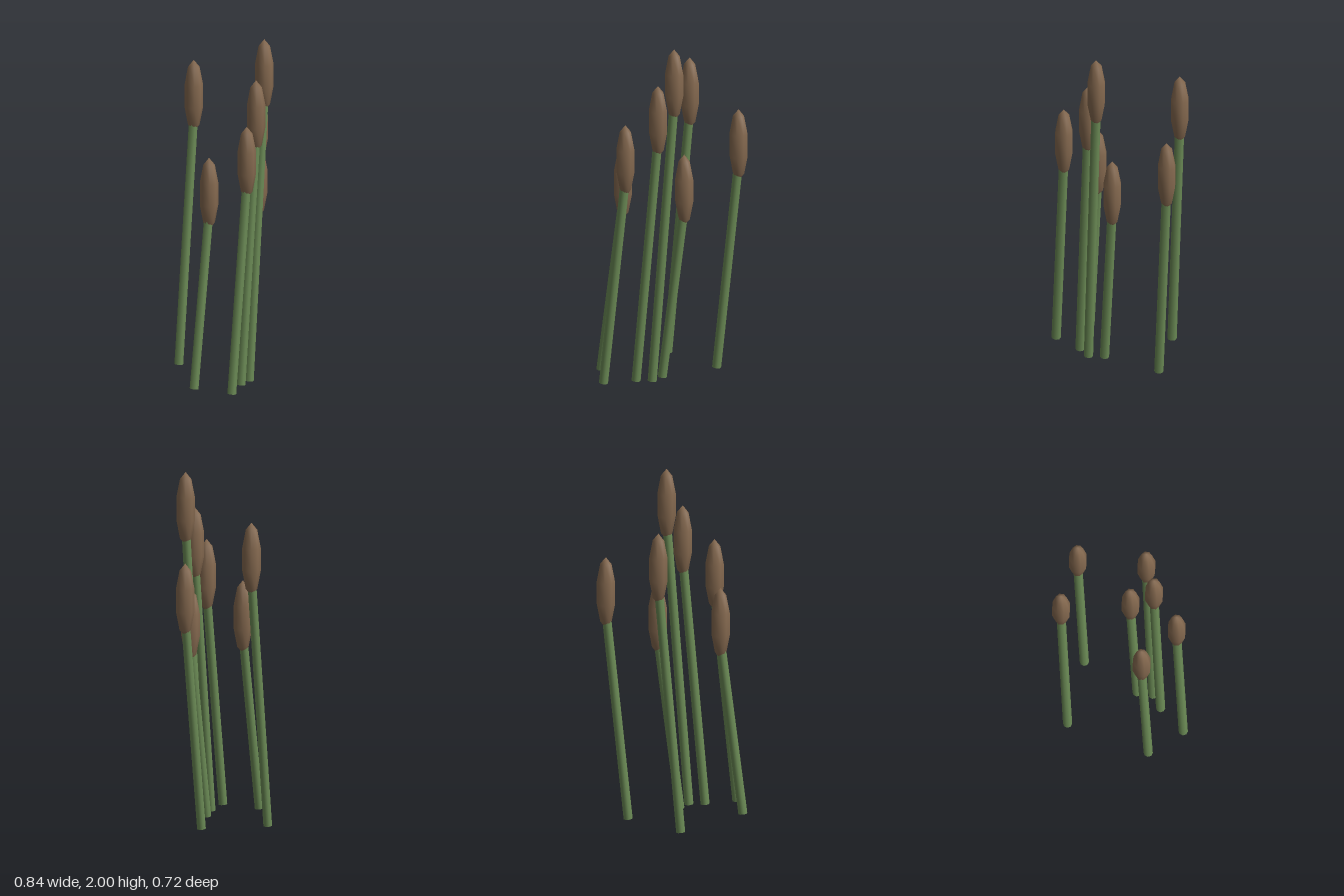
import * as THREE from 'three';

export function createModel() {
  const group = new THREE.Group();
  group.name = 'reeds';

  const green = new THREE.MeshStandardMaterial({ color: 0x6c8c56 });
  green.name = 'stem green';
  const brown = new THREE.MeshStandardMaterial({ color: 0x866a50 });
  brown.name = 'seed head brown';

  const headRadius = 0.0556, headHalf = 0.2125; // head is a stretched ball
  const stemRadius = 0.0265, lean = 0.1275;     // every stem leans towards +x

  // head x, head z, height of the tip
  const reeds = [
    [-0.267, 0.077, 1.345],
    [-0.201, 0.305, 1.56],
    [-0.03, 0.223, 1.78],
    [0.06, 0.205, 2.0],
    [0.1, 0.123, 1.345],
    [0.364, -0.109, 1.56],
    [0.035, -0.309, 1.78],
  ];

  const headGeometry = new THREE.SphereGeometry(1, 8, 5);
  headGeometry.scale(headRadius, headHalf, headRadius);

  for (const [x, z, tip] of reeds) {
    const reed = new THREE.Group();
    reed.name = 'reed';

    // Leaning stem, ending inside the head
    const foot = new THREE.Vector3(x - lean, 0.006, z);
    const top = new THREE.Vector3(x, tip - 0.32, z);
    const axis = top.clone().sub(foot);
    const stemGeometry = new THREE.CylinderGeometry(stemRadius, stemRadius, axis.length(), 8);
    stemGeometry.rotateY(Math.PI / 8);
    const stem = new THREE.Mesh(stemGeometry, green);
    stem.name = 'stem';
    stem.position.addVectors(foot, top).multiplyScalar(0.5);
    stem.rotation.z = -Math.atan2(axis.x, axis.y);

    // Upright seed head
    const head = new THREE.Mesh(headGeometry, brown);
    head.name = 'seedHead';
    head.position.set(x, tip - headHalf, z);

    reed.add(stem, head);
    group.add(reed);
  }
  return group;
}
